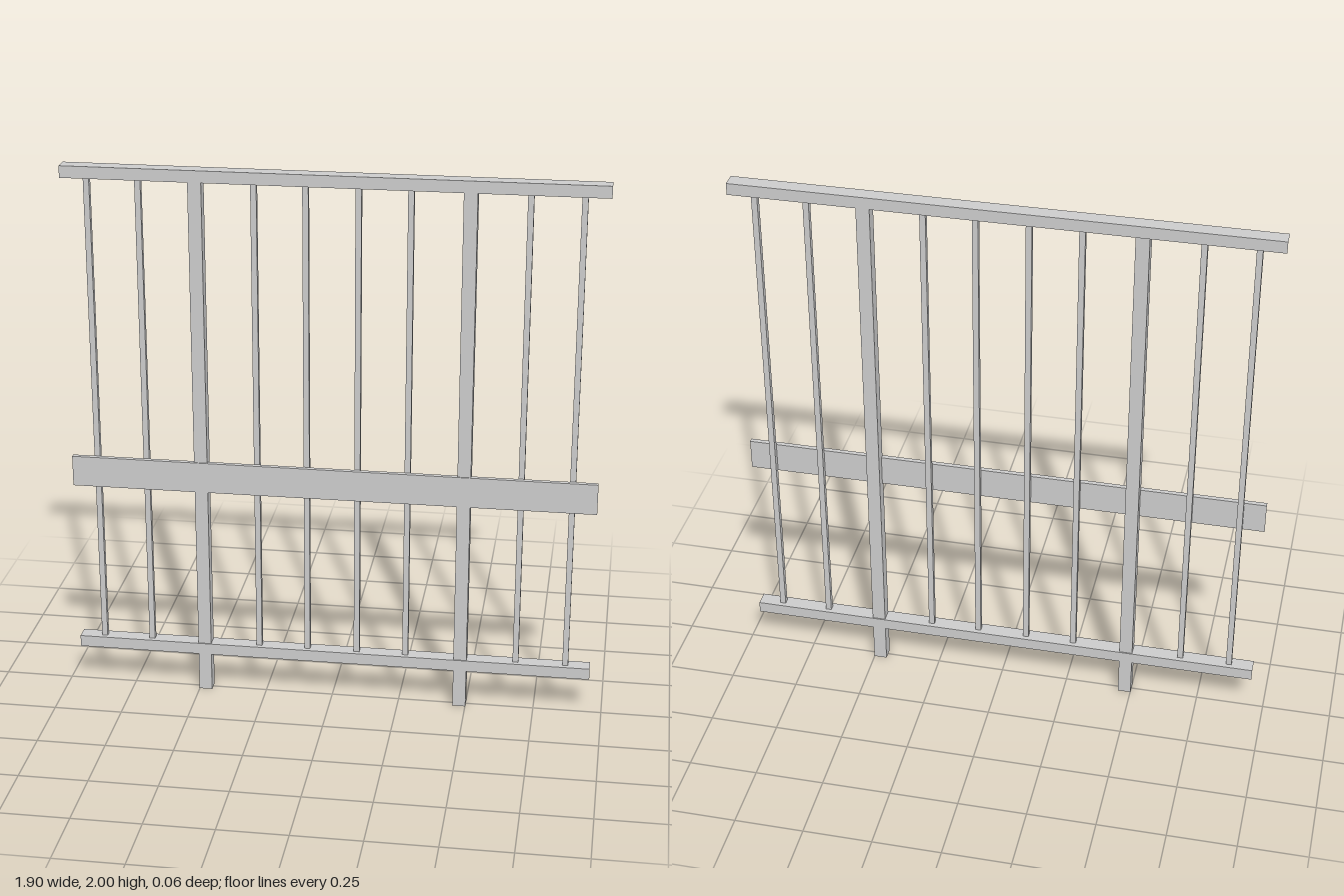
import * as THREE from 'three';

const material = new THREE.MeshStandardMaterial({ color: 0xcccccc });

// Box given by its centre x, and its y and z ranges
function bar(name, x, width, [y0, y1], [z0, z1], openEnds = false) {
  const geometry = new THREE.BoxGeometry(width, y1 - y0, z1 - z0);
  if (openEnds) {
    // The first two faces of a box are its +x and -x ends
    geometry.setIndex(Array.from(geometry.index.array).slice(12));
    geometry.clearGroups();
  }
  const mesh = new THREE.Mesh(geometry, material);
  mesh.name = name;
  mesh.position.set(x, (y0 + y1) / 2, (z0 + z1) / 2);
  return mesh;
}

export function createModel() {
  const model = new THREE.Group();
  model.name = 'railingPanel';

  const length = 1.904;
  const railDepth = [-0.028, 0.028];
  const underside = 1.957;

  // Horizontal members, open at both ends
  model.add(
    bar('topRail', 0, length, [underside, 2], railDepth, true),
    bar('bottomRail', 0, length, [0.147, 0.19], railDepth, true),
    bar('middleBoard', 0, length, [0.803, 0.917], [0.0105, 0.028], true)
  );

  // Posts and thin balusters, mirrored about the centre
  for (const [side, s] of [['left', 1], ['right', -1]]) {
    model.add(bar(side + 'Post', s * 0.477, 0.048, [0, underside], [-0.024, 0.024]));
    [0.092, 0.273, 0.68, 0.862].forEach((x, i) => {
      model.add(bar(side + 'Baluster' + (i + 1), s * x, 0.021, [0.19, underside], [-0.0105, 0.0105]));
    });
  }
  return model;
}
